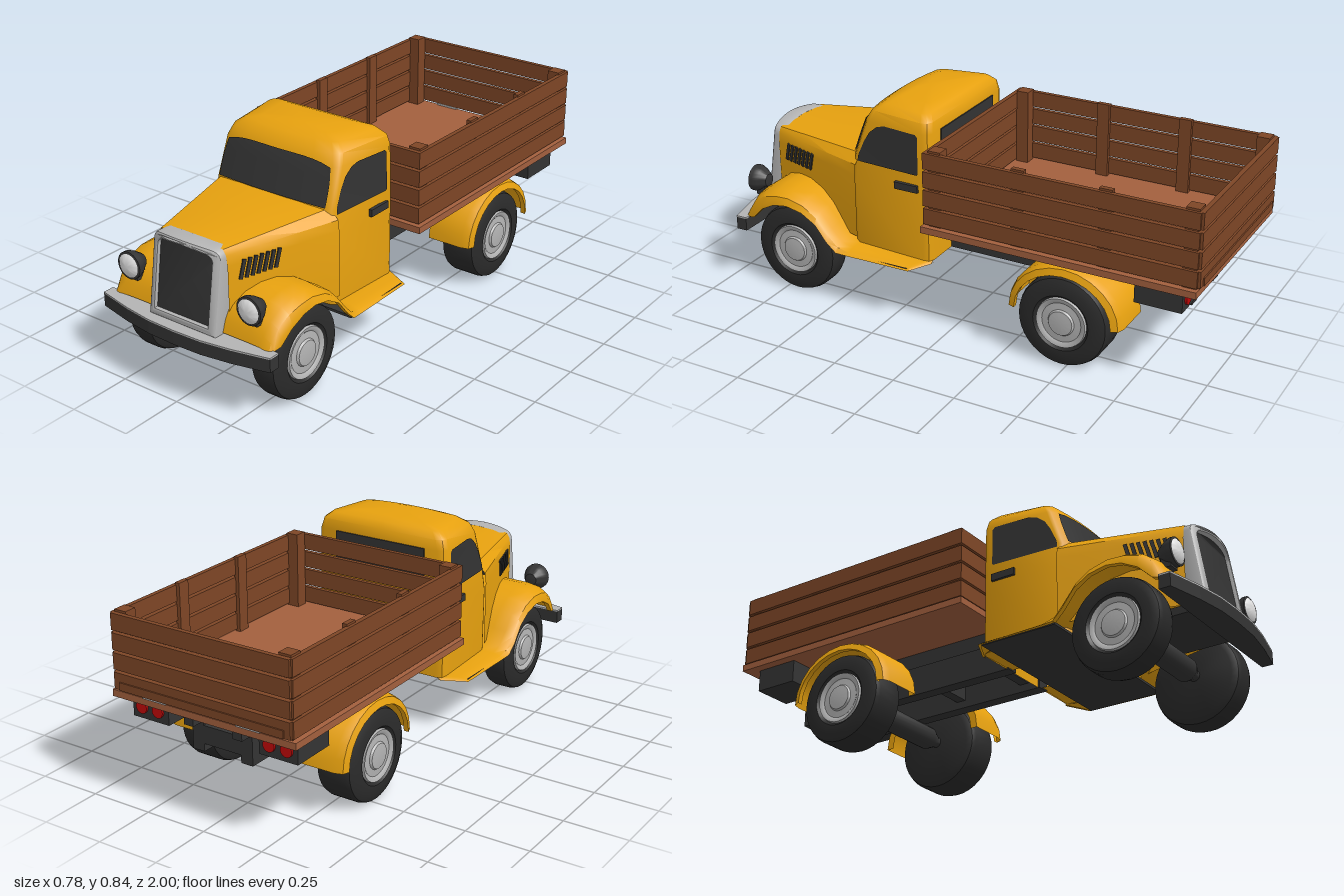
import * as THREE from 'three';
import { toCreasedNormals } from 'three/addons/utils/BufferGeometryUtils.js';

const flat = (name, color, side = THREE.FrontSide) => {
  const m = new THREE.MeshStandardMaterial({ color, side });
  m.name = name;
  return m;
};
const lerp = THREE.MathUtils.lerp;

// surface through rows of [x, y, z] points
function loft(rows, crease = 0.6) {
  const n = rows[0].length, index = [];
  for (let j = 0; j < rows.length - 1; j++)
    for (let i = 0; i < n - 1; i++) {
      const a = j * n + i, b = a + 1, c = a + n, d = c + 1;
      index.push(a, b, c, b, d, c);
    }
  const g = new THREE.BufferGeometry();
  g.setAttribute('position', new THREE.Float32BufferAttribute(rows.flat(2), 3));
  g.setIndex(index);
  return toCreasedNormals(g, crease);
}

// copy reflected to the other side, with corner order restored
function mirror(geo) {
  const g = geo.clone().scale(-1, 1, 1);
  const idx = g.index ? Array.from(g.index.array) : Array.from({ length: g.attributes.position.count }, (_, i) => i);
  for (let i = 0; i < idx.length; i += 3) [idx[i + 1], idx[i + 2]] = [idx[i + 2], idx[i + 1]];
  g.setIndex(idx);
  return g;
}

const box = (w, h, d, x, y, z) => new THREE.BoxGeometry(w, h, d).translate(x, y, z);
const lathe = (pts, seg = 36) =>
  toCreasedNormals(new THREE.LatheGeometry(pts.map(p => new THREE.Vector2(...p)), seg), 0.6);
const shapeOf = pts => new THREE.Shape(pts.map(p => new THREE.Vector2(...p)));

// cab rings: height, front z, back z, half width at front, half width at back
const CAB = [
  [0.235, 0.48, 0.113, 0.285, 0.29], [0.5, 0.485, 0.113, 0.284, 0.29], [0.6, 0.485, 0.113, 0.268, 0.289],
  [0.75, 0.432, 0.113, 0.262, 0.286], [0.79, 0.41, 0.119, 0.248, 0.275], [0.815, 0.375, 0.14, 0.215, 0.245],
  [0.828, 0.34, 0.175, 0.155, 0.17], [0.835, 0.31, 0.24, 0.05, 0.055],
];
function cabAt(y) {
  let i = 0;
  while (i < CAB.length - 2 && CAB[i + 1][0] < y) i++;
  const t = (y - CAB[i][0]) / (CAB[i + 1][0] - CAB[i][0]);
  return CAB[i].map((v, k) => lerp(v, CAB[i + 1][k], t));
}
const cabFront = (x, y) => { const [, zf, , wf] = cabAt(y); return zf - 0.025 * (x / wf) ** 2; };
function cabSide(z, y) {
  const [, zf, zb, wf, wb] = cabAt(y);
  return lerp(wb, wf, (z - zb - 0.03) / (zf - 0.047 - zb - 0.03));
}
function cabRing([y, zf, zb, wf, wb]) {
  const s = Math.min(1, (zf - zb) / 0.25), half = [];
  for (const t of [0, 0.33, 0.66, 1]) {
    const x = t * (wf - 0.025 * s);
    half.push([x, y, zf - 0.025 * s * (x / wf) ** 2]);
  }
  half.push([wf - 0.006 * s, y, zf - 0.034 * s], [wf, y, zf - 0.047 * s], [wb, y, zb + 0.03 * s],
    [wb - 0.008 * s, y, zb + 0.01 * s], [wb - 0.03 * s, y, zb], [0, y, zb]);
  return [...half, ...half.slice(0, -1).reverse().map(([x, , z]) => [-x, y, z])];
}

const hoodWidth = z => 0.148 + (0.92 - z) * 0.293;

export function createModel() {
  const truck = new THREE.Group();
  truck.name = 'flatbedTruck';
  const paint = flat('yellowPaint', 0xe8a20f, THREE.DoubleSide);
  const silver = flat('silver', 0xb4b4b4);
  const dark = flat('charcoal', 0x343434);
  const rubber = flat('rubber', 0x2b2b2b);
  const glass = flat('darkGlass', 0x333333, THREE.DoubleSide);
  const lens = flat('whiteLens', 0xe4e4e4);
  const red = flat('redLens', 0xc00808);
  const board = flat('boardWood', 0x7e4626);
  const deck = flat('deckWood', 0xa3603e);

  const add = (name, geo, mat) => {
    const m = new THREE.Mesh(geo, mat);
    m.name = name;
    truck.add(m);
  };
  const pair = (name, geo, mat) => {
    add(name + 'Left', geo, mat);
    add(name + 'Right', mirror(geo), mat);
  };

  // cab shell with its roof closed at a point
  const rings = CAB.map(cabRing);
  rings.push(rings[0].map(() => [0, 0.836, 0.275]));
  add('cab', loft(rings, 0.7), paint);

  // windscreen, side and rear windows
  const screen = [];
  for (let j = 0; j <= 6; j++) {
    const v = j / 6, row = [];
    for (let i = 0; i <= 12; i++) {
      const u = i / 6 - 1, x = u * (0.245 - 0.012 * v ** 3);
      const y = lerp(0.612 + 0.006 * (1 - u * u), 0.748 + 0.02 * (1 - u ** 4), v);
      row.push([x, y, cabFront(x, y) + 0.005]);
    }
    screen.push(row);
  }
  add('windscreen', loft(screen), glass);
  const pane = new THREE.ShapeGeometry(shapeOf([[0.435, 0.585], [0.165, 0.585], [0.16, 0.59], [0.16, 0.735],
    [0.17, 0.745], [0.31, 0.747], [0.345, 0.738], [0.38, 0.71], [0.405, 0.67], [0.432, 0.61]]));
  const pp = pane.attributes.position;
  for (let i = 0; i < pp.count; i++) {
    const z = pp.getX(i), y = pp.getY(i);
    pp.setXYZ(i, cabSide(z, y) + 0.004, y, z);
  }
  pane.computeVertexNormals();
  pair('sideWindow', pane, glass);
  add('rearWindow', box(0.4, 0.12, 0.008, 0, 0.69, 0.112), glass);
  pair('doorHandle', box(0.014, 0.028, 0.1, 0.292, 0.53, 0.21), dark);

  // tapering hood
  add('hood', loft([0.44, 0.6, 0.75, 0.885].map(z => {
    const t = (0.885 - z) / 0.445, w = hoodWidth(z), yt = lerp(0.601, 0.617, t), s = lerp(0.018, 0.042, t);
    const half = [[w, 0.27, z], [w, 0.53, z], [w - 0.005, 0.57, z], [w - s, yt - 0.011, z], [w * 0.5, yt - 0.003, z], [0, yt, z]];
    return [...half.map(([x, y]) => [-x, y, z]), ...half.slice(0, -1).reverse()];
  })), paint);
  for (let i = 0; i < 7; i++) {
    const z = 0.83 - i * 0.023;
    const slat = new THREE.BoxGeometry(0.008, 0.072, 0.014).rotateX(-0.25).rotateY(-0.285);
    pair('louvre' + (i + 1), slat.translate(hoodWidth(z) + 0.001, 0.505, z), dark);
  }

  // leaning, bowed grille frame and its dark panel
  const outline = (w, yb, yt, c) => {
    const s = new THREE.Shape();
    s.moveTo(-w, yb);
    s.lineTo(w, yb);
    s.lineTo(w, yt - c);
    s.quadraticCurveTo(w, yt - 0.012, w - c, yt - 0.008);
    s.quadraticCurveTo(0, yt + 0.008, c - w, yt - 0.008);
    s.quadraticCurveTo(-w, yt - 0.012, -w, yt - c);
    return s;
  };
  const lean = (geo, z0) => {
    const p = geo.attributes.position;
    for (let i = 0; i < p.count; i++)
      p.setZ(i, p.getZ(i) + z0 + 0.15 * (0.6 - p.getY(i)) - 0.03 * (p.getX(i) / 0.15) ** 2);
    geo.computeVertexNormals();
    return toCreasedNormals(geo, 0.5);
  };
  const frame = outline(0.153, 0.283, 0.604, 0.045);
  frame.holes.push(outline(0.122, 0.315, 0.582, 0.035));
  add('grilleFrame', lean(new THREE.ExtrudeGeometry(frame, {
    depth: 0.05, bevelThickness: 0.01, bevelSize: 0.008, bevelOffset: -0.008, bevelSegments: 2, curveSegments: 8,
  }), 0.878), silver);
  add('grillePanel', lean(new THREE.ExtrudeGeometry(outline(0.128, 0.305, 0.588, 0.035),
    { depth: 0.01, bevelEnabled: false, curveSegments: 8 }), 0.913), dark);

  // bowed bumper with a bright top plate
  const plan = shapeOf([[-0.385, 0.9], [0.385, 0.9], [0.385, 0.945], [0.24, 0.978], [0.12, 0.996], [0, 1],
    [-0.12, 0.996], [-0.24, 0.978], [-0.385, 0.945]]);
  const slab = (top, depth) => new THREE.ExtrudeGeometry(plan, { depth, bevelEnabled: false })
    .rotateX(Math.PI / 2).translate(0, top, 0);
  add('bumper', slab(0.28, 0.05), dark);
  add('bumperTop', slab(0.286, 0.006), silver);

  // front fender running back into the step: z, top, outer x, lower edge
  const wing = [[0.915, 0.29, 0.355, 0.28], [0.9, 0.335, 0.365, 0.283], [0.87, 0.382, 0.372, 0.29],
    [0.82, 0.417, 0.38, 0.34], [0.76, 0.433, 0.385, 0.371], [0.7, 0.433, 0.386, 0.38], [0.63, 0.412, 0.386, 0.366],
    [0.57, 0.372, 0.386, 0.33], [0.52, 0.315, 0.386, 0.267], [0.48, 0.268, 0.384, 0.23], [0.43, 0.247, 0.382, 0.228],
    [0.16, 0.24, 0.378, 0.228], [0.113, 0.24, 0.285, 0.228]];
  pair('frontFender', loft(wing.map(([z, y, w, b]) => {
    const d = Math.min(0.06, y - b);
    return [[0.1, y, z], [w - 0.1, y, z], [w - 0.045, y - d * 0.15, z], [w - 0.013, y - d * 0.48, z],
      [w, y - d, z], [w, b, z], [w - 0.02, b, z]];
  })), paint);

  // rear fender arch
  const arch = [];
  for (let i = 0; i <= 12; i++) {
    const a = Math.PI * i / 12;
    arch.push([[0.2, -0.03], [0.2, 0], [0.35, 0], [0.38, -0.01], [0.39, -0.035], [0.37, -0.035]].map(([x, d]) =>
      [x, 0.2 + (0.205 + d) * Math.sin(a), -0.487 + (0.227 + d) * Math.cos(a)]));
  }
  pair('rearFender', loft(arch), paint);

  // headlights on short stands
  const toFront = g => g.rotateX(Math.PI / 2).translate(0.275, 0.415, 0.91);
  pair('headlightShell', toFront(lathe([[0, -0.058], [0.025, -0.053], [0.044, -0.025], [0.053, -0.005], [0.053, 0.01], [0.046, 0.012], [0, 0.012]])), dark);
  pair('headlightLens', toFront(lathe([[0.047, 0.01], [0.038, 0.018], [0.02, 0.024], [0, 0.026]])), lens);
  pair('headlightStand', box(0.045, 0.06, 0.04, 0.275, 0.385, 0.885), dark);

  // wheels with dished hubs; x0 and x1 are the inner and outer tyre faces
  for (const [name, z, x0, x1] of [['front', 0.7, 0.23, 0.347], ['rear', -0.48, 0.225, 0.383]]) {
    const w = x1 - x0;
    const place = g => g.rotateZ(-Math.PI / 2).translate(x0, 0.178, z);
    pair(name + 'Tyre', place(lathe([[0, 0], [0.15, 0], [0.172, 0.012], [0.178, 0.03], [0.178, w - 0.03],
      [0.172, w - 0.012], [0.145, w], [0.11, w], [0.098, w - 0.012], [0, w - 0.012]])), rubber);
    pair(name + 'Hub', place(lathe([[0.1, w - 0.012], [0.097, w - 0.001], [0.086, w - 0.003], [0.078, w - 0.009],
      [0.052, w - 0.007], [0.047, w + 0.001], [0.03, w + 0.003], [0, w + 0.004]])), silver);
    add(name + 'Axle', lathe([[0, -0.24], [0.022, -0.24], [0.022, -0.215], [0.046, -0.165], [0.046, 0.165],
      [0.022, 0.215], [0.022, 0.24], [0, 0.24]], 20).rotateZ(Math.PI / 2).translate(0, 0.19, z), dark);
  }

  // chassis, belly plates and rear light boxes
  pair('frameRail', box(0.05, 0.115, 1.0, 0.105, 0.2925, -0.38), dark);
  pair('subframeRail', box(0.04, 0.065, 1.06, 0.105, 0.38, -0.4), dark);
  for (const z of [0.05, -0.25, -0.7, -0.86]) add('crossMember', box(0.2, 0.07, 0.04, 0, 0.3, z), dark);
  add('cabFloor', box(0.74, 0.01, 0.31, 0, 0.229, 0.325), dark);
  add('engineTray', box(0.3, 0.03, 0.42, 0, 0.262, 0.69), dark);
  pair('rearLightBox', box(0.16, 0.088, 0.18, 0.275, 0.366, -0.838), dark);
  for (const x of [0.24, 0.312])
    pair('tailLight', new THREE.CylinderGeometry(0.024, 0.024, 0.012, 20).rotateX(Math.PI / 2).translate(x, 0.366, -0.93), red);

  // timber bed: deck, slatted walls, stakes and tailgate
  add('bedDeck', box(0.784, 0.026, 1.08, 0, 0.423, -0.448), deck);
  for (let i = 0; i < 4; i++) {
    const y = 0.476 + i * 0.073;
    pair('sideBoard' + (i + 1), box(0.018, 0.063, 1.07, 0.373, y, -0.45), board);
    add('frontBoard' + (i + 1), box(0.728, 0.063, 0.018, 0, y, 0.076), board);
    add('tailBoard' + (i + 1), box(0.75, 0.063, 0.018, 0, y, -0.986), board);
  }
  for (const z of [-0.295, -0.635]) pair('sideStake', box(0.02, 0.3, 0.05, 0.36, 0.585, z), board);
  for (const z of [0.042, -0.952]) pair('cornerPost', box(0.05, 0.3, 0.05, 0.346, 0.585, z), board);
  add('tailgateCleat', box(0.7, 0.03, 0.006, 0, 0.46, -0.997), board);
  pair('tailgateHinge', box(0.1, 0.008, 0.02, 0.2, 0.441, -0.985), silver);
  return truck;
}
